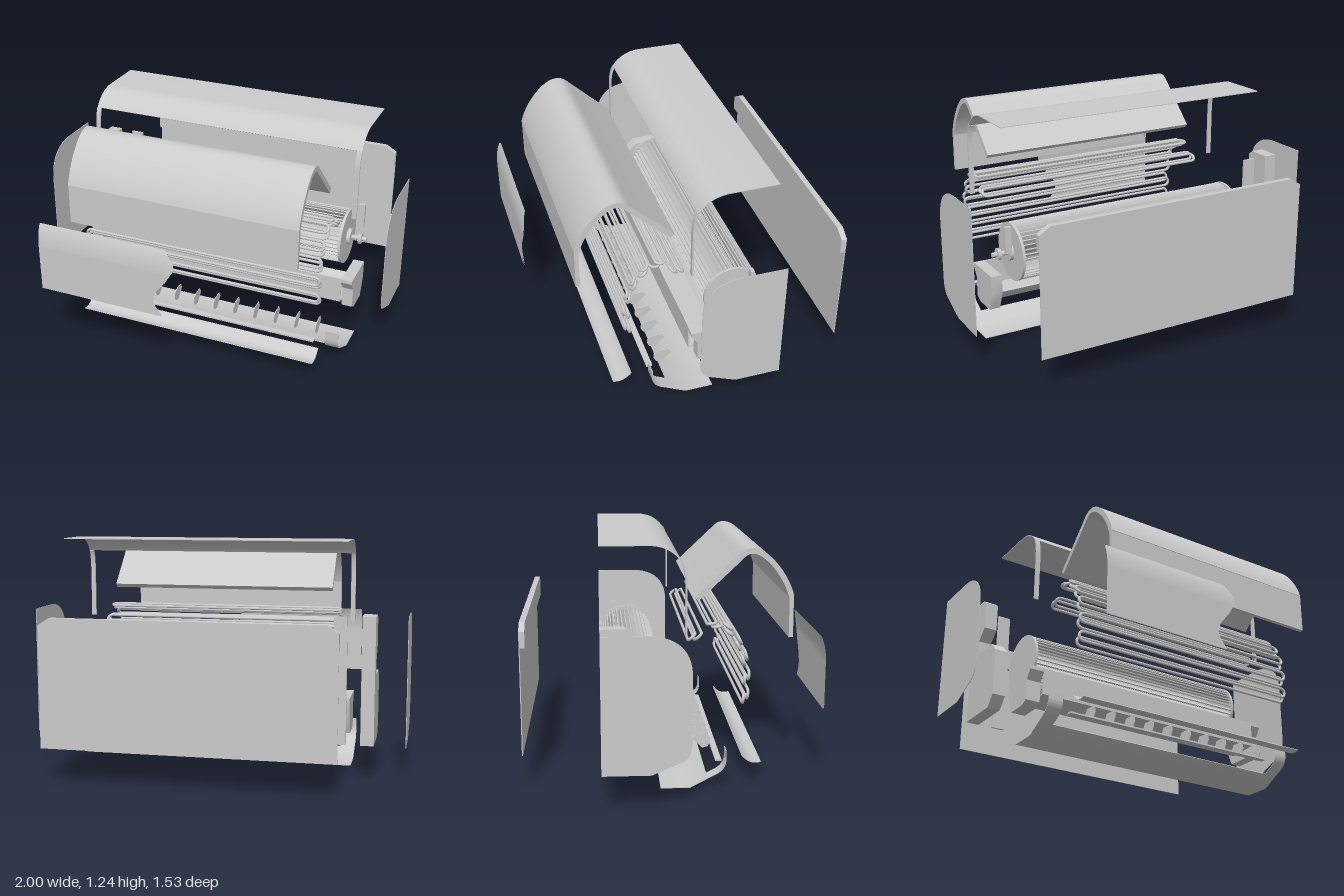
import * as THREE from 'three';
import { toCreasedNormals } from 'three/addons/utils/BufferGeometryUtils.js';
import { ParametricGeometry } from 'three/addons/geometries/ParametricGeometry.js';

const grey = new THREE.MeshStandardMaterial({ color: 0xcccccc, side: THREE.DoubleSide });

export function createModel() {
  const model = new THREE.Group();

  function add(name, geometry, parent = model) {
    const mesh = new THREE.Mesh(geometry, grey);
    mesh.name = name;
    parent.add(mesh);
    return mesh;
  }

  function addGroup(name) {
    const g = new THREE.Group();
    g.name = name;
    model.add(g);
    return g;
  }

  // solid with a [z, y] outline, running from x0 to x1
  function prism(name, outline, x0, x1, parent) {
    const shape = new THREE.Shape(outline.map(([z, y]) => new THREE.Vector2(-z, y)));
    const geo = new THREE.ExtrudeGeometry(shape, { depth: x1 - x0, bevelEnabled: false });
    geo.rotateY(Math.PI / 2).translate(x0, 0, 0);
    return add(name, toCreasedNormals(geo, 0.5), parent);
  }

  // bent sheet: a (z, y) path given a thickness, running from x0 to x1
  function sheet(name, path, thickness, x0, x1, parent) {
    const pts = path.getPoints(14);
    const a = [], b = [];
    pts.forEach((p, i) => {
      const dir = pts[Math.min(i + 1, pts.length - 1)].clone().sub(pts[Math.max(i - 1, 0)]).normalize();
      const nz = -dir.y * thickness / 2, ny = dir.x * thickness / 2;
      a.push([p.x + nz, p.y + ny]);
      b.unshift([p.x - nz, p.y - ny]);
    });
    return prism(name, a.concat(b), x0, x1, parent);
  }

  const path = (z, y) => new THREE.Path().moveTo(z, y);
  const box = (name, x0, x1, y0, y1, z0, z1, parent) => add(name,
    new THREE.BoxGeometry(x1 - x0, y1 - y0, z1 - z0)
      .translate((x0 + x1) / 2, (y0 + y1) / 2, (z0 + z1) / 2), parent);

  // side panels
  const side = new THREE.Path().moveTo(-0.37, 0.185).lineTo(-0.13, 0.185).lineTo(0.01, 0.245)
    .quadraticCurveTo(0.063, 0.265, 0.063, 0.34).lineTo(0.063, 0.67)
    .bezierCurveTo(0.063, 0.79, -0.01, 0.86, -0.14, 0.862).lineTo(-0.37, 0.862);
  const outline = side.getPoints(14).map((p) => [p.x, p.y]);
  prism('rightSidePanel', outline, -1, -0.997);
  prism('leftSidePanel', outline, 0.997, 1);

  // top cover with two front legs
  const cover = addGroup('topCover');
  sheet('coverTop', path(-0.37, 1.242).lineTo(-0.12, 1.242)
    .quadraticCurveTo(-0.02, 1.24, 0.036, 1.16), 0.004, -0.69, 0.83, cover);
  for (const [x0, x1] of [[-0.69, -0.665], [0.805, 0.83]]) {
    sheet('coverLeg', path(0.036, 1.16).quadraticCurveTo(0.058, 1.12, 0.058, 1.04)
      .lineTo(0.058, 0.785), 0.009, x0, x1, cover);
  }

  // back panel with a thicker, chamfered top edge
  const back = addGroup('backPanel');
  const backPlate = new THREE.Shape([[-0.69, 0.19], [0.83, 0.19], [0.83, 0.825], [0.77, 0.862],
    [-0.63, 0.862], [-0.69, 0.825]].map((p) => new THREE.Vector2(...p)));
  add('backPlate', new THREE.ExtrudeGeometry(backPlate, { depth: 0.005, bevelEnabled: false })
    .translate(0, 0, -0.765), back);
  const rim = new THREE.Shape([[-0.69, 0.742], [0.83, 0.742], [0.83, 0.825], [0.77, 0.862],
    [-0.63, 0.862], [-0.69, 0.825]].map((p) => new THREE.Vector2(...p)));
  add('backRim', new THREE.ExtrudeGeometry(rim, { depth: 0.025, bevelEnabled: false })
    .translate(0, 0, -0.76), back);

  // arched hood and its front skirt
  const hood = addGroup('hood');
  sheet('hoodArch', path(0.602, 0.962).bezierCurveTo(0.57, 1.08, 0.46, 1.205, 0.395, 1.193)
    .quadraticCurveTo(0.37, 1.192, 0.345, 1.165).lineTo(0.12, 0.952), 0.028, -0.557, 0.7, hood);
  box('hoodSkirt', -0.557, 0.7, 0.75, 0.965, 0.592, 0.614, hood);

  // front panel, curved at the top, with a wavy cut edge
  const front = path(0.762, 0.4).lineTo(0.763, 0.66).quadraticCurveTo(0.76, 0.73, 0.737, 0.778);
  const wave = new THREE.CatmullRomCurve3([[0.035, 0.4], [-0.012, 0.47], [0, 0.53], [0.06, 0.61],
    [0.1, 0.7], [0.045, 0.778]].map(([x, y]) => new THREE.Vector3(x, y, 0)));
  const waveX = (y) => {
    const pts = wave.getPoints(60);
    return pts.reduce((m, p) => (Math.abs(p.y - y) < Math.abs(m.y - y) ? p : m)).x;
  };
  for (const dz of [0, -0.006]) {
    add('frontPanel', new ParametricGeometry((u, v, target) => {
      const p = front.getPoint(v);
      target.set(-0.67 + u * (waveX(p.y) + 0.67), p.y, p.x + dz);
    }, 4, 32));
  }

  // heat exchanger: pairs of tube loops around an arc, [z, y, tilt]
  const coil = addGroup('heatExchanger');
  const tubeR = 0.008, bendR = 0.024, xa = -0.572, xb = 0.722;
  const loops = [[0.37, 0.45, 0.1], [0.375, 0.55, 0.05], [0.365, 0.65, -0.25], [0.335, 0.73, -0.45],
    [0.28, 0.8, -0.85], [0.21, 0.825, 1.42], [0.11, 0.765, 0.85]];
  for (const [z, y, tilt] of loops) {
    for (const s of [-1, 1]) {
      const loop = new THREE.Group();
      loop.name = 'tubeLoop';
      for (const e of [-1, 1]) {
        add('tube', new THREE.CylinderGeometry(tubeR, tubeR, xb - xa, 8, 1, true)
          .rotateZ(Math.PI / 2).translate((xa + xb) / 2, e * bendR, 0), loop);
        add('bend', new THREE.TorusGeometry(bendR, tubeR, 8, 10, Math.PI)
          .rotateZ(-e * Math.PI / 2).translate(e > 0 ? xb : xa, 0, 0), loop);
      }
      // shift the pair apart across and along its tilt
      const n = s * 0.01, t = s * 0.013;
      loop.position.set(0, y + t * Math.cos(tilt) - n * Math.sin(tilt),
        z + t * Math.sin(tilt) + n * Math.cos(tilt));
      loop.rotation.x = tilt;
      coil.add(loop);
    }
  }

  // blower drum: end discs, blades, shaft and nut
  const drum = addGroup('blowerDrum');
  const drumR = 0.155;
  const disc = (name, r, x0, x1, sides = 40) => add(name,
    new THREE.CylinderGeometry(r, r, x1 - x0, sides).rotateZ(Math.PI / 2)
      .translate((x0 + x1) / 2, 0, 0), drum);
  for (const x of [-0.61, 0.71]) disc('endDisc', drumR, x, x + 0.014);
  for (let i = 0; i < 40; i++) {
    const blade = add('blade', new THREE.BoxGeometry(1.31, 0.032, 0.006)
      .rotateX(0.5).translate(0.055, drumR - 0.018, 0), drum);
    blade.rotation.x = i / 40 * Math.PI * 2;
  }
  disc('hub', 0.045, 0.724, 0.745, 20);
  disc('shaft', 0.013, 0.72, 0.83, 12);
  disc('shaftNut', 0.032, 0.785, 0.803, 6);
  drum.position.set(0, 0.53, -0.2);

  // drip tray with end blocks
  const tray = addGroup('dripTray');
  sheet('trayChannel', path(0.048, 0.4).lineTo(0.048, 0.26).lineTo(-0.12, 0.25).lineTo(-0.18, 0.31),
    0.01, -0.61, 0.77, tray);
  const block = [[0.055, 0.4], [0.055, 0.38], [0.02, 0.33], [0.02, 0.22], [-0.02, 0.2],
    [-0.14, 0.2], [-0.18, 0.3], [-0.18, 0.4]];
  prism('trayEnd', block, -0.69, -0.61, tray);
  prism('trayEnd', block, 0.77, 0.83, tray);

  // end brackets
  prism('endBracket', [[-0.37, 0.19], [-0.12, 0.19], [-0.07, 0.25], [-0.07, 0.5], [-0.12, 0.55],
    [-0.28, 0.55], [-0.28, 0.63], [-0.22, 0.69], [-0.22, 0.84], [-0.25, 0.862], [-0.37, 0.862]],
  -0.835, -0.765);
  box('bracketPlate', -0.69, -0.62, 0.19, 0.86, -0.37, -0.358);
  box('shaftBracket', 0.757, 0.79, 0.56, 0.7, -0.29, -0.27);

  // bottom pan with two front legs
  const pan = addGroup('bottomPan');
  sheet('panFloor', path(-0.07, 0.003).lineTo(0.08, 0.003).lineTo(0.17, 0.05), 0.004, -0.69, 0.83, pan);
  for (const [x0, x1] of [[-0.69, -0.61], [0.755, 0.83]]) {
    sheet('panLeg', path(0.17, 0.05).lineTo(0.215, 0.073).quadraticCurveTo(0.263, 0.1, 0.263, 0.15)
      .lineTo(0.263, 0.195), 0.004, x0, x1, pan);
  }

  // air deflector and guide vanes on their bar
  sheet('airDeflector', path(0.455, 0.105).quadraticCurveTo(0.4, 0.085, 0.355, 0.14), 0.004, -0.605, 0.75);
  const vanes = addGroup('guideVanes');
  box('vaneBar', -0.56, 0.69, 0.095, 0.104, 0.222, 0.255, vanes);
  for (let i = 0; i < 10; i++) {
    const x = -0.395 + i * 0.12;
    prism('vane', [[0.212, 0.175], [0.19, 0.19], [0.135, 0.194], [0.118, 0.165], [0.17, 0.115],
      [0.2, 0.122], [0.214, 0.15]], x, x + 0.004, vanes);
  }

  return model;
}
